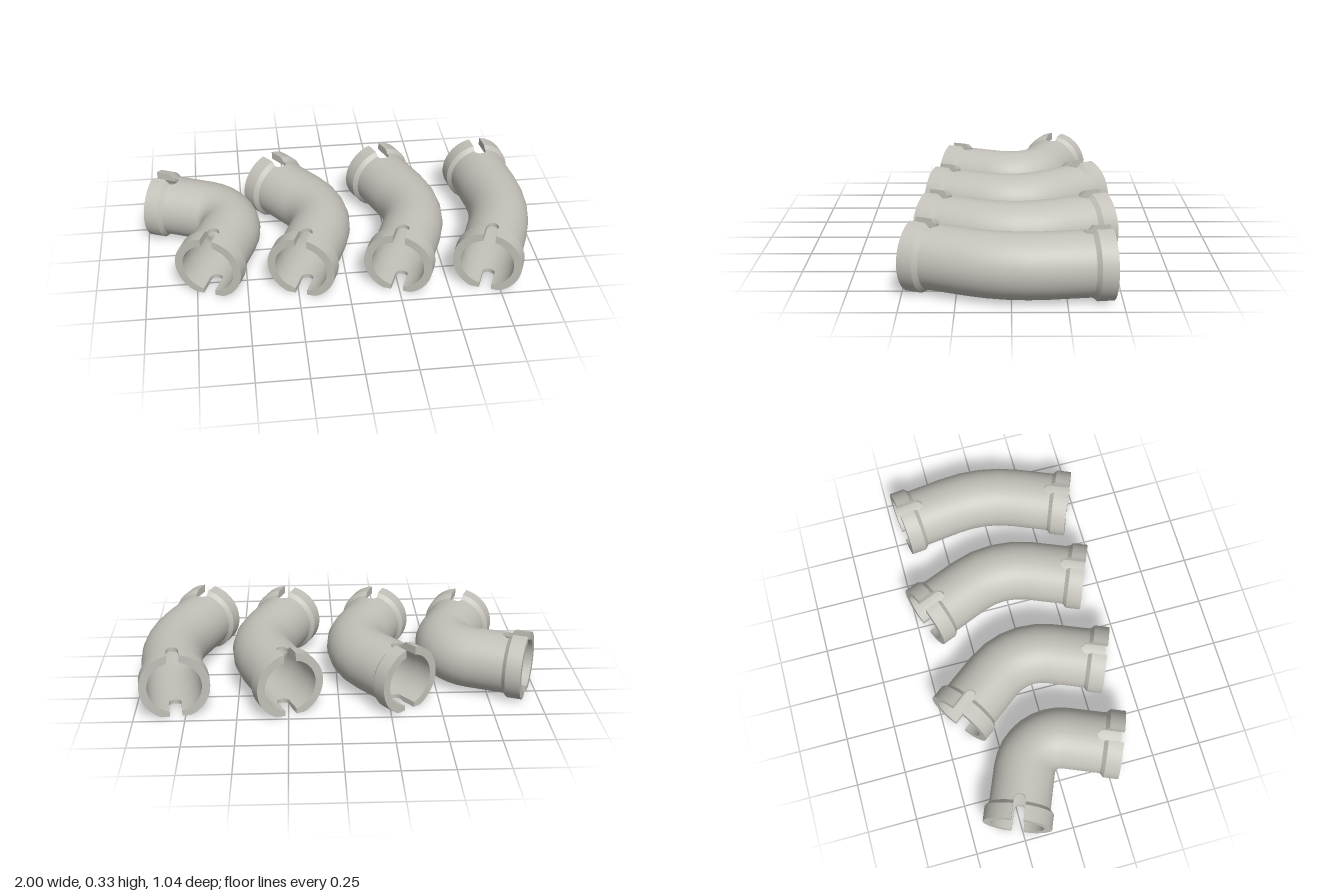
import * as THREE from 'three';
import { toCreasedNormals } from 'three/addons/utils/BufferGeometryUtils.js';

const AXIS_Y = 0.156;                            // height of the pipe axis
const OUTER = 0.153, INNER = 0.132, COLLAR = 0.172;
const SLOT = 0.03, NECK = 0.1;                   // slot half width, straight slot depth
const STRAIGHT = 0.285, TANGENT = 0.469;         // straight leg, leg to corner point
const HEADING = Math.PI / 8;

// Straight - arc - straight centreline; returns a surface point from (radius, distance, angle)
function makePath(x0, z0, bend) {
  const R = (TANGENT - STRAIGHT) / Math.tan(bend / 2);
  const arc = R * bend, total = 2 * STRAIGHT + arc;
  const point = (rho, s, phi) => {
    const a = Math.min(Math.max((s - STRAIGHT) / R, 0), bend);
    const h = HEADING - a;
    const before = Math.min(s, STRAIGHT), after = Math.max(s - STRAIGHT - arc, 0);
    const x = x0 + before * Math.sin(HEADING) + R * (Math.cos(h) - Math.cos(HEADING)) * -1 * -1 + after * Math.sin(h);
    const z = z0 - before * Math.cos(HEADING) - R * (Math.sin(HEADING) - Math.sin(h)) - after * Math.cos(h);
    const u = rho * Math.sin(phi);
    return [x + u * Math.cos(h), Math.max(0, AXIS_Y + rho * Math.cos(phi)), z + u * Math.sin(h)];
  };
  return { point, arc, total };
}

// Skins a grid of columns, each a closed loop of points
function skin(columns, closed) {
  const pos = [], n = columns.length, m = columns[0].length;
  const tri = (a, b, c) => pos.push(...a, ...b, ...c);
  for (let i = 0; i < (closed ? n : n - 1); i++) {
    const p = columns[i], q = columns[(i + 1) % n];
    for (let k = 0; k < m; k++) {
      const l = (k + 1) % m;
      tri(p[k], q[k], q[l]);
      tri(p[k], q[l], p[l]);
    }
  }
  if (!closed) {
    const p = columns[0], q = columns[n - 1];
    for (let k = 1; k < m - 1; k++) {
      tri(p[0], p[k], p[k + 1]);
      tri(q[0], q[k + 1], q[k]);
    }
  }
  const geo = new THREE.BufferGeometry();
  geo.setAttribute('position', new THREE.Float32BufferAttribute(pos, 3));
  return toCreasedNormals(geo, 0.5);
}

// Angle of a column on the solid side between the two slots
const sideAngle = (rho, t, half) => {
  const edge = Math.asin(SLOT / rho);
  return half * Math.PI + edge + (Math.PI - 2 * edge) * t;
};

// Bent tube whose ends follow the round bottoms of the slots
function tubeGeometry(path, bend) {
  const steps = Math.max(4, Math.round(bend / (Math.PI / 16)));
  const columns = [];
  const addColumn = (angleAt, start) => {
    const rows = [start];
    for (let k = 0; k <= steps; k++) rows.push(STRAIGHT + path.arc * k / steps);
    rows.push(path.total - start);
    columns.push([
      ...rows.map(s => path.point(OUTER, s, angleAt(OUTER))),
      ...rows.reverse().map(s => path.point(INNER, s, angleAt(INNER))),
    ]);
  };
  for (const half of [0, 1]) {
    for (let k = -5; k <= 5; k++) {
      const v = Math.sin(Math.PI / 2 * k / 5);
      addColumn(rho => half * Math.PI + Math.asin(SLOT * v / rho), NECK + SLOT * Math.sqrt(Math.max(0, 1 - v * v)));
    }
    for (let k = 1; k < 24; k++) addColumn(rho => sideAngle(rho, k / 24, half), NECK);
  }
  return skin(columns, true);
}

// Half of an end collar, from the top slot round to the bottom slot
function collarGeometry(path, half, farEnd) {
  let profile = [[INNER, 0], [COLLAR, 0], [COLLAR, 0.075], [OUTER, 0.095], [OUTER, NECK], [INNER, NECK]];
  if (farEnd) {
    profile = profile.map(([r, s]) => [r, path.total - s]).reverse();
    profile.unshift(profile.pop());
  }
  const columns = [];
  for (let k = 0; k <= 24; k++)
    columns.push(profile.map(([r, s]) => path.point(r, s, sideAngle(r, k / 24, half))));
  return skin(columns, false);
}

export function createModel() {
  const model = new THREE.Group();
  model.name = 'pipeElbowSet';
  const grey = new THREE.MeshStandardMaterial({ color: 0xc2c0b8 });
  grey.name = 'warmGrey';

  // Front end centre (x, z) and bend in degrees of each elbow
  const elbows = [[-0.69, 0.337, 90], [-0.238, 0.388, 60], [0.238, 0.412, 45], [0.677, 0.449, 30]];
  for (const [x, z, degrees] of elbows) {
    const bend = THREE.MathUtils.degToRad(degrees);
    const path = makePath(x, z, bend);
    const elbow = new THREE.Group();
    elbow.name = `elbow${degrees}`;
    const add = (geo, name) => {
      const mesh = new THREE.Mesh(geo, grey);
      mesh.name = name;
      elbow.add(mesh);
    };
    add(tubeGeometry(path, bend), 'bentTube');
    for (const farEnd of [false, true])
      for (const half of [0, 1])
        add(collarGeometry(path, half, farEnd), `${farEnd ? 'back' : 'front'}Collar${half ? 'Right' : 'Left'}`);
    model.add(elbow);
  }
  return model;
}
